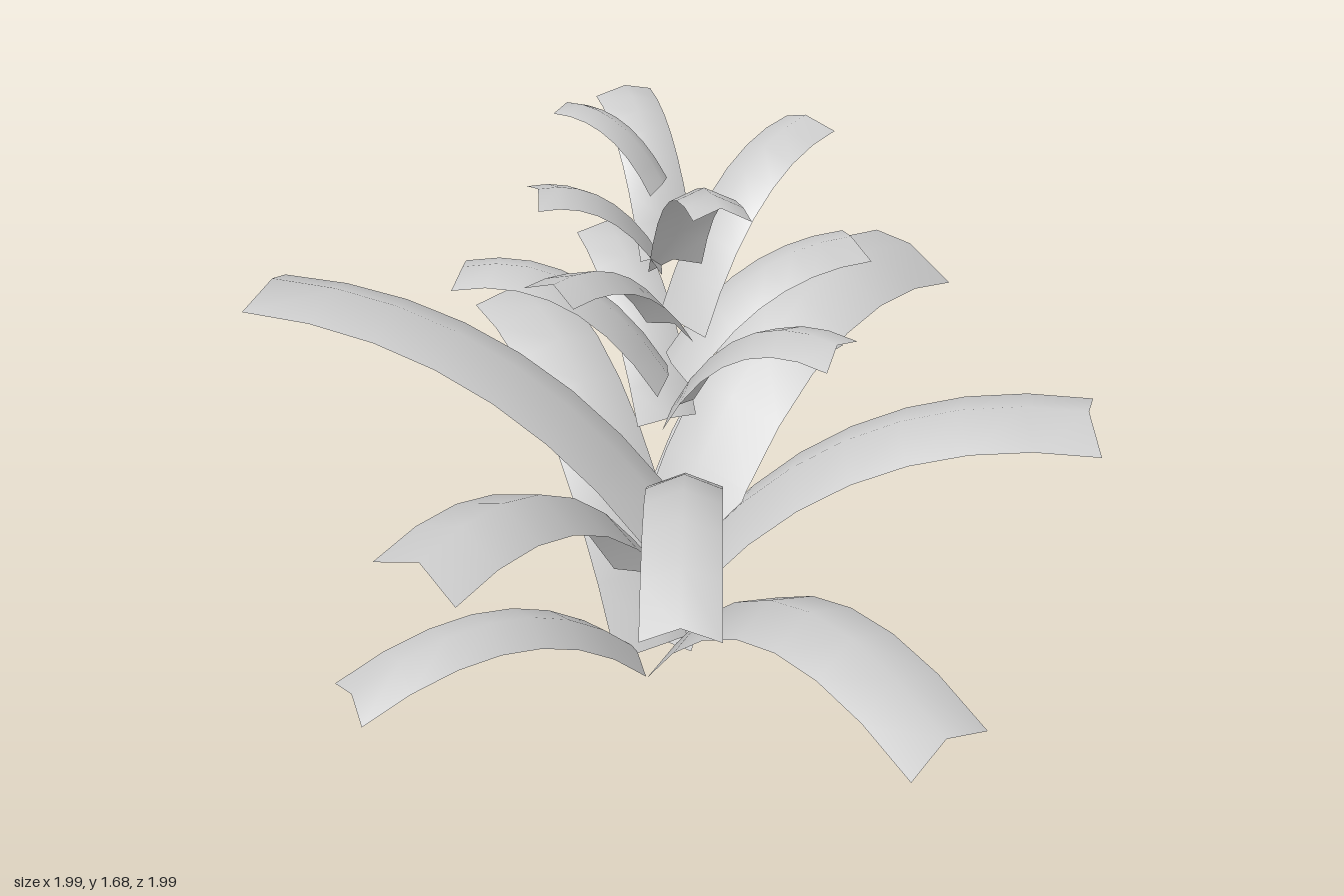
import * as THREE from 'three';

const leafGrey = new THREE.MeshStandardMaterial({ color: 0xcccccc, side: THREE.DoubleSide });
leafGrey.name = 'leaf grey';

const SEGMENTS = 7;
const UP = new THREE.Vector3(0, 1, 0);

// Each leaf: base x, y, z, height of the arch control, tip x, y, z, width, roll
const tiers = {
  lowerLeaf: [
    [-0.10, 0.07, -0.07, 0.83, 0.19, 0.73, -0.925, 0.25, 0],
    [-0.08, 0.043, -0.155, 0.78, 0.81, 0.55, -0.38, 0.26, 0],
    [-0.115, 0.13, 0.0, 0.81, -0.22, 0.525, 0.965, 0.25, 0],
    [-0.15, 0.06, -0.12, 0.49, -0.925, 0.28, -0.345, 0.18, 0],
  ],
  middleLeaf: [
    [-0.11, 0.58, -0.04, 1.15, -0.62, 1.125, -0.91, 0.25, -0.17],
    [-0.05, 0.40, -0.09, 1.14, 0.965, 0.865, -0.12, 0.28, -0.2],
    [0.0, 0.39, -0.03, 0.95, 0.62, 0.88, 0.725, 0.25, 0],
    [-0.10, 0.61, 0.03, 1.19, -0.68, 0.92, 0.575, 0.18, 0],
    [-0.14, 0.37, -0.04, 1.07, -0.96, 0.97, 0.055, 0.25, 0],
  ],
  upperLeaf: [
    [-0.10, 1.03, -0.02, 1.31, 0.335, 1.28, 0.17, 0.16, 0],
    [-0.12, 0.92, 0.0, 1.305, -0.02, 1.255, 0.43, 0.15, 0],
    [-0.10, 0.99, -0.03, 1.345, -0.385, 1.255, -0.44, 0.14, 0],
    [-0.10, 0.86, -0.03, 1.18, 0.10, 1.175, -0.445, 0.155, 0],
  ],
  crownLeaf: [
    [-0.11, 1.17, 0.01, 1.56, 0.325, 1.56, 0.02, 0.155, 0.1],
    [-0.13, 1.18, 0.02, 1.48, -0.545, 1.50, 0.07, 0.14, 0],
    [-0.11, 1.34, 0.0, 1.71, -0.29, 1.68, 0.32, 0.13, 0.2],
    [-0.12, 1.34, -0.03, 1.575, -0.365, 1.565, -0.17, 0.12, 0],
    [-0.11, 1.53, -0.03, 1.71, -0.195, 1.69, -0.25, 0.095, -0.2],
    [-0.10, 1.34, -0.02, 1.63, 0.06, 1.615, -0.325, 0.135, 0],
  ],
};

// Arching strip folded along its midrib, with the edges below the ridge
function leafGeometry([x0, y0, z0, lift, x1, y1, z1, width, roll]) {
  const base = new THREE.Vector3(x0, y0, z0);
  const tip = new THREE.Vector3(x1, y1, z1);
  const control = base.clone().lerp(tip, 0.4).setY(lift);
  const curve = new THREE.QuadraticBezierCurve3(base, control, tip);
  const out = new THREE.Vector3(x1 - x0, 0, z1 - z0).normalize();
  const side = out.clone().cross(UP);
  const positions = [];
  const index = [];
  for (let i = 0; i <= SEGMENTS; i++) {
    const t = i / SEGMENTS;
    const ridge = curve.getPoint(t);
    const normal = side.clone().cross(curve.getTangent(t));
    for (const s of [-1, 0, 1]) {
      const p = ridge.clone();
      if (s) {
        p.addScaledVector(side, s * width / 2)
          .addScaledVector(normal, width * (s * roll * t / 2 - 0.13))
          .addScaledVector(UP, -0.06 * width)
          .addScaledVector(out, 0.12 * width * t * t);
      }
      positions.push(p.x, p.y, p.z);
    }
    if (i === SEGMENTS) break;
    for (let j = 0; j < 2; j++) {
      const a = i * 3 + j;
      index.push(a, a + 1, a + 3, a + 1, a + 4, a + 3);
    }
  }
  const geometry = new THREE.BufferGeometry();
  geometry.setAttribute('position', new THREE.Float32BufferAttribute(positions, 3));
  geometry.setIndex(index);
  geometry.computeVertexNormals();
  return geometry;
}

export function createModel() {
  const plant = new THREE.Group();
  plant.name = 'plant';
  for (const [name, leaves] of Object.entries(tiers)) {
    const tier = new THREE.Group();
    tier.name = name + 'Tier';
    for (const leaf of leaves) {
      const mesh = new THREE.Mesh(leafGeometry(leaf), leafGrey);
      mesh.name = name;
      tier.add(mesh);
    }
    plant.add(tier);
  }
  return plant;
}
